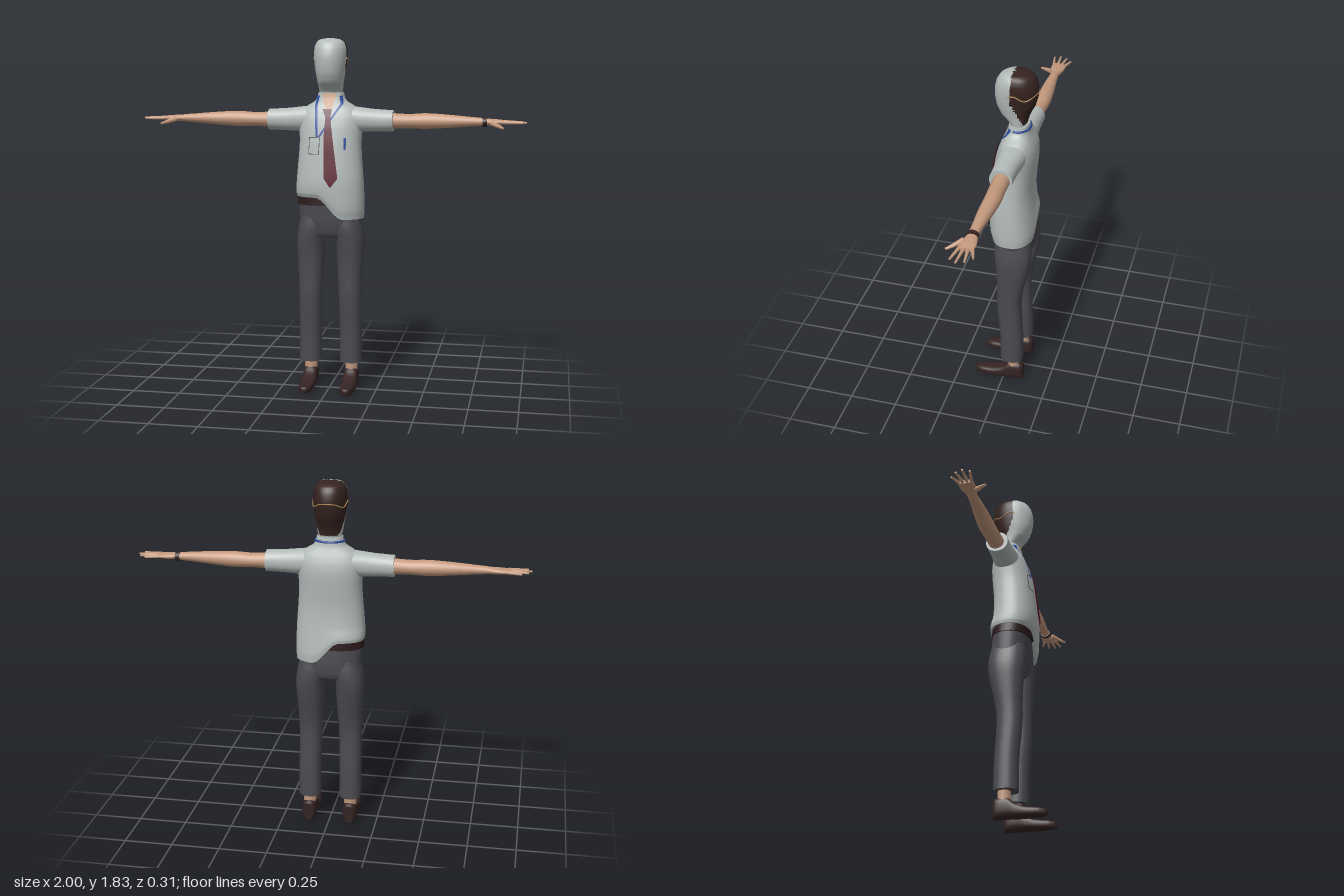
import * as THREE from 'three';

const mat = (name, color, side = THREE.FrontSide) =>
  Object.assign(new THREE.MeshStandardMaterial({ color, side }), { name });

const signedPow = (v, e) => Math.sign(v) * Math.pow(Math.abs(v), e);

// Catmull-Rom blend of one value
const blend = (a, b, c, d, t) => 0.5 * (2 * b + (c - a) * t + (2 * a - 5 * b + 4 * c - d) * t * t
  + (3 * b - a - 3 * c + d) * t * t * t);

// Smooth cross-section rows, k steps per span
function refine(rows, k) {
  const out = [];
  for (let i = 0; i < rows.length - 1; i++) {
    const a = rows[Math.max(i - 1, 0)], b = rows[i], c = rows[i + 1], d = rows[Math.min(i + 2, rows.length - 1)];
    for (let j = 0; j < k; j++) {
      const t = j / k;
      out.push(b.map((v, q) => (q === 0 ? v + (c[0] - v) * t : blend(a[q], v, c[q], d[q], t))));
    }
  }
  out.push(rows[rows.length - 1]);
  return out;
}

// Closed skin over rows [t, u0, u1, v0, v1]; axes names the coordinates of t, u and v
function loft(name, material, rows, { axes = 'yxz', n = 28, k = 3, power = 2, warp, pick } = {}) {
  const pos = [], tris = [], all = refine(rows, k);
  const add = (t, u, v) => {
    const p = { [axes[0]]: t, [axes[1]]: u, [axes[2]]: v };
    if (warp) warp(p);
    pos.push(p.x, p.y, p.z);
  };
  const ring = ([t, u0, u1, v0, v1]) => {
    for (let i = 0; i < n; i++) {
      const a = (i / n) * Math.PI * 2;
      add(t, (u0 + u1) / 2 + (u1 - u0) / 2 * signedPow(Math.cos(a), 2 / power),
        (v0 + v1) / 2 + (v1 - v0) / 2 * signedPow(Math.sin(a), 2 / power));
    }
  };
  all.forEach(ring);
  for (let r = 0; r < all.length - 1; r++) for (let i = 0; i < n; i++) {
    const a = r * n + i, b = r * n + (i + 1) % n;
    tris.push([a, a + n, b], [b, a + n, b + n]);
  }
  // flat ends with their own vertices
  [all[0], all[all.length - 1]].forEach((s, e) => {
    const base = pos.length / 3;
    ring(s);
    add(s[0], (s[1] + s[2]) / 2, (s[3] + s[4]) / 2);
    for (let i = 0; i < n; i++) {
      const a = base + i, b = base + (i + 1) % n;
      tris.push(e ? [a, base + n, b] : [a, b, base + n]);
    }
  });
  // turn the skin outward whatever the axis order
  const V = i => new THREE.Vector3().fromArray(pos, i * 3);
  const volume = tris.reduce((s, [a, b, c]) => s + V(a).dot(V(b).cross(V(c))), 0);
  if (volume < 0) tris.forEach(t => t.reverse());
  const g = new THREE.BufferGeometry();
  g.setAttribute('position', new THREE.Float32BufferAttribute(pos, 3));
  if (pick) {
    const sets = material.map(() => []);
    tris.forEach(t => sets[pick(V(t[0]).add(V(t[1])).add(V(t[2])).divideScalar(3))].push(...t));
    let start = 0;
    sets.forEach((s, i) => { g.addGroup(start, s.length, i); start += s.length; });
    g.setIndex(sets.flat());
  } else g.setIndex(tris.flat());
  g.computeVertexNormals();
  return Object.assign(new THREE.Mesh(g, material), { name });
}

// Tapered round piece between two points
function limb(name, material, from, to, r0, r1) {
  const a = new THREE.Vector3(...from), b = new THREE.Vector3(...to), d = b.clone().sub(a);
  const m = new THREE.Mesh(new THREE.CylinderGeometry(r1, r0, d.length(), 8), material);
  m.position.copy(a).add(b).multiplyScalar(0.5);
  m.quaternion.setFromUnitVectors(new THREE.Vector3(0, 1, 0), d.normalize());
  m.name = name;
  return m;
}

// Thin cord round the back half of an oval
function backCord(name, material, yAt, rx, rz, cz, r) {
  const pts = [];
  for (let i = 0; i <= 20; i++) {
    const a = Math.PI * (0.92 + 1.16 * i / 20);
    pts.push(new THREE.Vector3(rx * Math.cos(a), yAt(Math.sin(a)), cz + rz * Math.sin(a)));
  }
  const m = new THREE.Mesh(new THREE.TubeGeometry(new THREE.CatmullRomCurve3(pts), 40, r, 6), material);
  m.name = name;
  return m;
}

const SHIRT_POWER = 2.4;
const shirtRows = [
  [0.91, -0.174, 0.174, -0.147, 0.075], [0.96, -0.178, 0.178, -0.15, 0.086],
  [1.1, -0.174, 0.174, -0.136, 0.09], [1.2, -0.166, 0.166, -0.131, 0.081],
  [1.3, -0.16, 0.16, -0.139, 0.07], [1.38, -0.164, 0.164, -0.144, 0.056],
  [1.43, -0.165, 0.165, -0.138, 0.042], [1.465, -0.15, 0.15, -0.127, 0.028],
  [1.49, -0.118, 0.118, -0.117, 0.016], [1.51, -0.085, 0.085, -0.11, 0.008],
  [1.53, -0.072, 0.072, -0.106, 0.001], [1.555, -0.066, 0.066, -0.102, -0.004],
];
const shirtSkin = refine(shirtRows, 3);

// Depth of the shirt front at a point
function chestZ(x, y) {
  const i = shirtSkin.findIndex(r => r[0] > y) - 1;
  const a = shirtSkin[i], b = shirtSkin[i + 1], t = (y - a[0]) / (b[0] - a[0]);
  const [, , rx, z0, z1] = a.map((v, q) => v + (b[q] - v) * t);
  const f = 1 - Math.pow(Math.min(1, Math.abs(x) / rx), SHIRT_POWER);
  return (z0 + z1) / 2 + (z1 - z0) / 2 * Math.pow(f, 1 / SHIRT_POWER);
}

// Thin cloth laid on the shirt front; rows [y, x0, x1] from the top down
function strip(name, material, rows, lift) {
  const pos = [], idx = [], cols = 4, steps = 8;
  for (let i = 0; i < rows.length - 1; i++) for (let j = i ? 1 : 0; j <= steps; j++) {
    const [y, x0, x1] = rows[i].map((v, q) => v + (rows[i + 1][q] - v) * j / steps);
    for (let c = 0; c <= cols; c++) {
      const x = x0 + (x1 - x0) * c / cols;
      pos.push(x, y, chestZ(x, y) + lift);
    }
  }
  const w = cols + 1, count = pos.length / 3 / w;
  for (let r = 0; r < count - 1; r++) for (let c = 0; c < cols; c++) {
    const a = r * w + c;
    idx.push(a, a + w, a + 1, a + 1, a + w, a + w + 1);
  }
  const g = new THREE.BufferGeometry();
  g.setAttribute('position', new THREE.Float32BufferAttribute(pos, 3));
  g.setIndex(idx);
  g.computeVertexNormals();
  return Object.assign(new THREE.Mesh(g, material), { name });
}

export function createModel() {
  const model = new THREE.Group();
  model.name = 'officeWorker';
  const shirt = mat('paleGrey', 0xb3bbb9), skin = mat('skin', 0xc59a7e), trousers = mat('charcoal', 0x4b4a50);
  const dark = mat('darkBrown', 0x35231f), leather = mat('shoeBrown', 0x352423), belt = mat('beltBrown', 0x2d1b1d);
  const tie = mat('maroon', 0x5e1d2e, THREE.DoubleSide), blue = mat('blue', 0x2b4c9c, THREE.DoubleSide);
  const wire = mat('tan', 0xb08a5a), outline = mat('outlineGrey', 0x5a5f60, THREE.DoubleSide);
  const add = (...parts) => model.add(...parts);

  // head and neck: pale front, dark hair behind
  add(loft('head', [shirt, dark], [
    [1.5, -0.055, 0.055, -0.09, -0.012], [1.555, -0.06, 0.06, -0.092, -0.01],
    [1.58, -0.063, 0.063, -0.098, 0.01], [1.61, -0.067, 0.067, -0.108, 0.04],
    [1.66, -0.076, 0.076, -0.132, 0.062], [1.73, -0.084, 0.084, -0.147, 0.069],
    [1.78, -0.083, 0.083, -0.14, 0.06], [1.81, -0.073, 0.073, -0.125, 0.042],
    [1.825, -0.055, 0.055, -0.1, 0.018], [1.832, -0.022, 0.022, -0.066, -0.014],
  ], { n: 48, k: 4, power: 2.15,
    pick: p => (p.y > 1.565 && p.z < -0.025 - Math.max(0, 1.69 - p.y) * 0.45 ? 1 : 0) }));
  add(backCord('glassesBand', wire, s => 1.722 + 0.012 * Math.cos(s * 6), 0.086, 0.109, -0.039, 0.003));

  // shirt body with a hem that is untucked on one side
  add(loft('shirt', shirt, shirtRows, { n: 48, power: SHIRT_POWER, warp: p => {
    const hem = 1.022 - 0.112 * THREE.MathUtils.smoothstep(p.x, -0.06, 0.08);
    if (p.y < 1.1) p.y = 1.1 - (1.1 - p.y) * (1.1 - hem) / 0.19;
  } }));

  // belt and hips
  add(loft('belt', belt, [[0.98, -0.172, 0.172, -0.141, 0.07], [1.03, -0.17, 0.17, -0.138, 0.07]],
    { n: 40, k: 1, power: SHIRT_POWER }));
  add(loft('hips', trousers, [
    [0.795, -0.1, 0.1, -0.1, 0.02], [0.83, -0.155, 0.155, -0.135, 0.042],
    [0.9, -0.163, 0.163, -0.143, 0.055], [1.02, -0.166, 0.166, -0.136, 0.062],
  ], { n: 40, power: 2.4 }));

  for (const [side, s] of [['left', 1], ['right', -1]]) {
    const mirrorU = rows => rows.map(([t, a, b, c, d]) => (s > 0 ? [t, a, b, c, d] : [t, -b, -a, c, d]));
    const mirrorT = rows => rows.map(([t, ...r]) => [t * s, ...r]);

    // trouser leg, ankle and shoe
    add(loft(side + 'TrouserLeg', trousers, mirrorU([
      [0.14, 0.05, 0.166, -0.108, 0.016], [0.3, 0.05, 0.165, -0.105, 0.018],
      [0.5, 0.046, 0.165, -0.094, 0.034], [0.6, 0.04, 0.168, -0.104, 0.034],
      [0.7, 0.034, 0.174, -0.127, 0.038], [0.79, 0.03, 0.177, -0.141, 0.046],
      [0.86, 0.012, 0.168, -0.14, 0.05], [0.92, 0.01, 0.155, -0.13, 0.045],
    ]), { power: 2.3 }));
    add(limb(side + 'Ankle', skin, [s * 0.109, 0.07, -0.055], [s * 0.109, 0.16, -0.055], 0.033, 0.034));
    add(loft(side + 'Shoe', leather, mirrorU([
      [-0.107, 0.086, 0.132, 0, 0.095], [-0.09, 0.074, 0.144, 0, 0.106],
      [-0.035, 0.072, 0.146, 0, 0.106], [0, 0.07, 0.148, 0, 0.076],
      [0.05, 0.069, 0.149, 0, 0.054], [0.12, 0.076, 0.142, 0, 0.045],
      [0.148, 0.088, 0.13, 0.002, 0.038], [0.16, 0.1, 0.118, 0.008, 0.028],
    ]), { axes: 'zxy', power: 2.8 }));

    // sleeve, arm and palm
    add(loft(side + 'Sleeve', shirt, mirrorT([
      [0.09, 1.36, 1.488, -0.12, 0.02], [0.15, 1.355, 1.482, -0.112, 0.018],
      [0.22, 1.357, 1.474, -0.104, 0.014], [0.325, 1.36, 1.468, -0.102, 0.012],
    ]), { axes: 'xyz', power: 2.2 }));
    add(loft(side + 'Arm', skin, mirrorT([
      [0.28, 1.372, 1.455, -0.09, -0.006], [0.4, 1.376, 1.449, -0.09, -0.01],
      [0.49, 1.374, 1.454, -0.094, -0.014], [0.62, 1.382, 1.447, -0.084, -0.015],
      [0.77, 1.394, 1.435, -0.069, -0.022], [0.81, 1.397, 1.431, -0.076, -0.017],
      [0.86, 1.399, 1.428, -0.084, -0.006], [0.9, 1.404, 1.423, -0.08, -0.008],
    ]), { axes: 'xyz', n: 20 }));

    // four fingers and a thumb: base x, z, tip x, z
    [[0.885, -0.074, 0.952, -0.096], [0.89, -0.056, 0.985, -0.066], [0.89, -0.036, 1.0, -0.03],
      [0.885, -0.016, 0.982, 0.002]].forEach(([x0, z0, x1, z1], i) =>
      add(limb(`${side}Finger${i + 1}`, skin, [s * x0, 1.414, z0], [s * x1, 1.413, z1], 0.0095, 0.005)));
    add(limb(side + 'Thumb', skin, [s * 0.825, 1.41, -0.015], [s * 0.86, 1.398, 0.022], 0.014, 0.01));
    add(limb(side + 'ThumbTip', skin, [s * 0.858, 1.399, 0.019], [s * 0.885, 1.39, 0.052], 0.01, 0.006));

    // lanyard strap running to the badge
    add(strip(side + 'Lanyard', blue, [[1.54, s * 0.058 - 0.007, s * 0.058 + 0.007],
      [1.5, s * 0.066 - 0.007, s * 0.066 + 0.007],
      [1.335, s * 0.006 - 0.054, s * 0.006 - 0.042]], 0.004));
  }
  add(backCord('lanyardNeck', blue, () => 1.535, 0.073, 0.056, -0.052, 0.006));

  // watch on the left wrist
  add(loft('watch', dark, [[0.778, 1.389, 1.439, -0.074, -0.016], [0.8, 1.39, 1.438, -0.077, -0.014]],
    { axes: 'xyz', n: 20, k: 1 }));

  // open collar, tie, badge and pen
  add(strip('openCollar', skin, [[1.553, -0.036, 0.036], [1.5, -0.026, 0.026], [1.45, -0.006, 0.006]], 0.003));
  add(strip('tie', tie, [[1.475, -0.03, 0.018], [1.43, -0.012, 0.014], [1.32, -0.018, 0.03],
    [1.125, -0.012, 0.058], [1.08, 0.018, 0.022]], 0.008));
  add(strip('badgeFrame', outline, [[1.333, -0.094, -0.036], [1.245, -0.097, -0.04]], 0.006));
  add(strip('badge', shirt, [[1.329, -0.09, -0.04], [1.249, -0.093, -0.044]], 0.008));
  add(strip('pen', blue, [[1.33, 0.085, 0.096], [1.27, 0.085, 0.096]], 0.005));
  return model;
}
